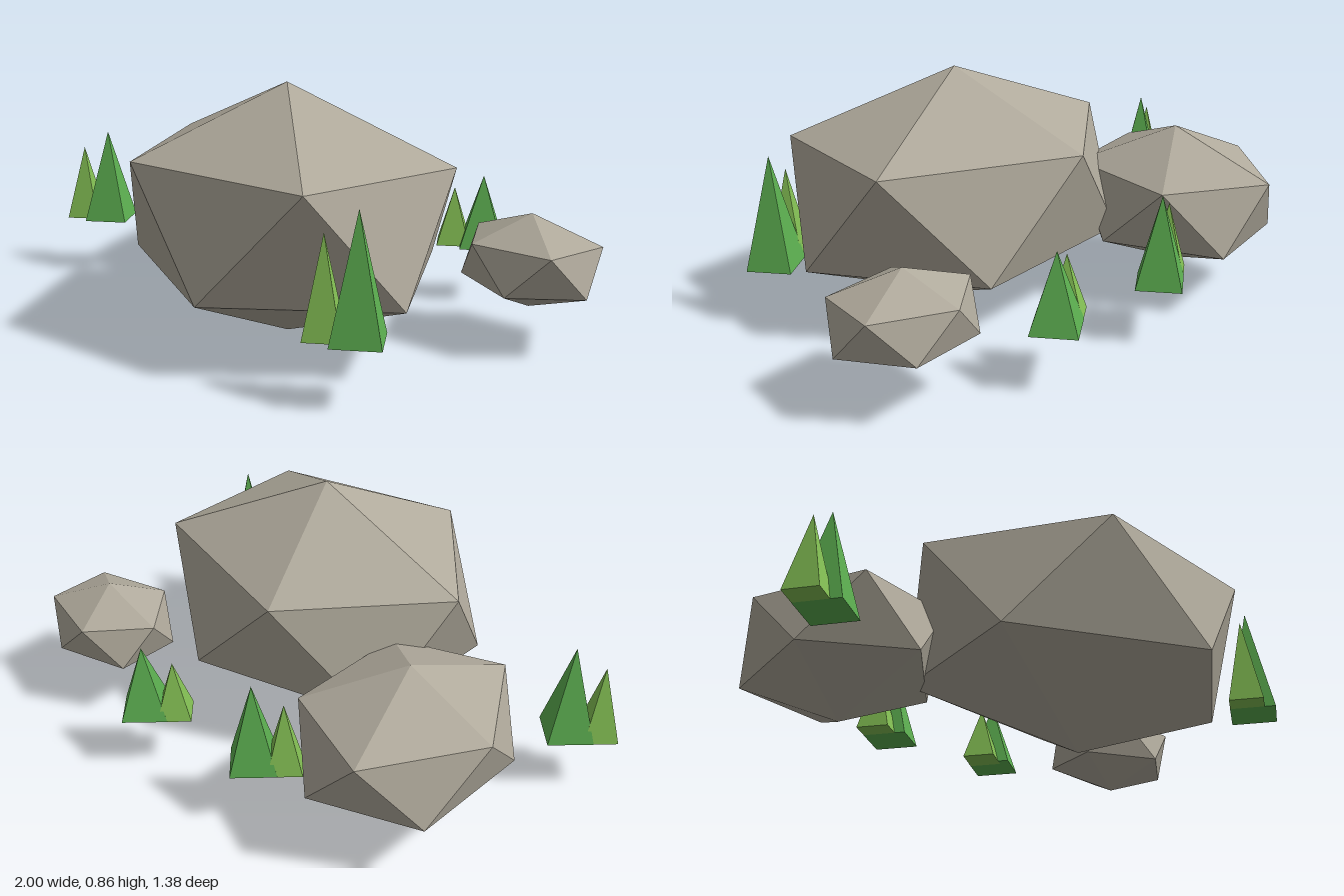
import * as THREE from 'three';
import { ConvexGeometry } from 'three/addons/geometries/ConvexGeometry.js';

// Twelve-cornered boulder: two poles and two staggered five-corner rings
function rockGeometry(rx, ry, rz) {
  const points = [new THREE.Vector3(0, ry, 0), new THREE.Vector3(0, -ry, 0)];
  const ringY = ry / Math.sqrt(5);
  for (let i = 0; i < 10; i++) {
    const a = Math.PI + (i * Math.PI) / 5;
    points.push(new THREE.Vector3(rx * Math.cos(a), i % 2 ? -ringY : ringY, rz * Math.sin(a)));
  }
  return new ConvexGeometry(points);
}

export function createModel() {
  const model = new THREE.Group();
  model.name = 'rocksAndTrees';

  const stone = new THREE.MeshStandardMaterial({ color: 0xb0aa9c, flatShading: true });
  stone.name = 'stone';
  const darkGreen = new THREE.MeshStandardMaterial({ color: 0x5cae50, flatShading: true });
  darkGreen.name = 'darkGreen';
  const lightGreen = new THREE.MeshStandardMaterial({ color: 0x84c054, flatShading: true });
  lightGreen.name = 'lightGreen';

  // Rocks: name, centre, ring radius in x, half height, ring radius in z
  const rocks = [
    ['largeRock', [0.178, 0.432, 0.199], 0.615, 0.432, 0.513],
    ['mediumRock', [-0.54, 0.346, -0.174], 0.336, 0.26, 0.398],
    ['smallRock', [0.752, 0.289, -0.375], 0.246, 0.16, 0.206],
  ];
  for (const [name, centre, rx, ry, rz] of rocks) {
    const rock = new THREE.Mesh(rockGeometry(rx, ry, rz), stone);
    rock.name = name;
    rock.position.set(...centre);
    model.add(rock);
  }

  // Four-sided pyramid tree standing on its own base
  function tree(name, radius, height, material) {
    const mesh = new THREE.Mesh(new THREE.ConeGeometry(radius, height, 4), material);
    mesh.name = name;
    mesh.position.y = height / 2;
    return mesh;
  }

  // Tree pairs: name, x, z, height of the taller tree
  const pairs = [
    ['frontRightTrees', -0.829, 0.341, 0.345],
    ['frontLeftTrees', 0.809, 0.4, 0.4],
    ['backRightTrees', -0.167, -0.52, 0.315],
    ['backLeftTrees', 0.321, -0.578, 0.26],
  ];
  for (const [name, x, z, height] of pairs) {
    const pair = new THREE.Group();
    pair.name = name;
    pair.position.set(x, 0.202, z);
    const small = tree('smallTree', 0.084, height * 0.8, lightGreen);
    small.position.x = -0.087;
    small.position.z = 0.06;
    pair.add(tree('tallTree', 0.112, height, darkGreen), small);
    model.add(pair);
  }

  return model;
}
